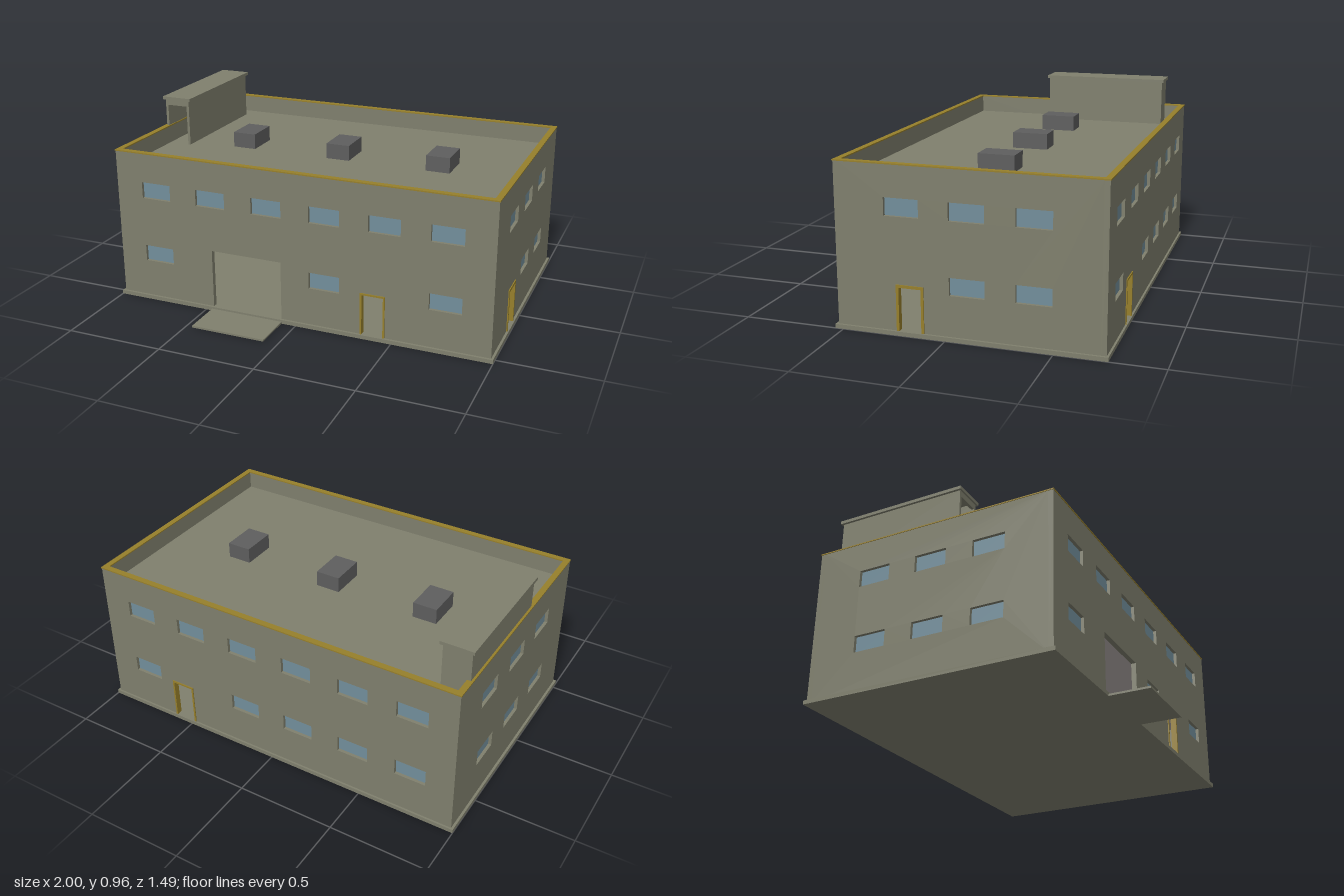
import * as THREE from 'three';

const mat = (name, color) => {
  const m = new THREE.MeshStandardMaterial({ color });
  m.name = name;
  return m;
};

export function createModel() {
  const wallMat = mat('olive concrete', 0x7f7f6d);
  const glassMat = mat('blue glass', 0x728e9b);
  const trimMat = mat('ochre trim', 0x967f2b);
  const unitMat = mat('dark grey metal', 0x5e5e5e);
  const ceilingMat = mat('pale ceiling', 0xb8b0ac);

  const model = new THREE.Group();
  model.name = 'building';

  // Box given by its limits on each axis
  const box = (parent, name, material, x0, x1, y0, y1, z0, z1) => {
    const mesh = new THREE.Mesh(new THREE.BoxGeometry(x1 - x0, y1 - y0, z1 - z0), material);
    mesh.position.set((x0 + x1) / 2, (y0 + y1) / 2, (z0 + z1) / 2);
    mesh.name = name;
    parent.add(mesh);
    return mesh;
  };

  const rect = (target, x0, x1, y0, y1) => {
    target.moveTo(x0, y0);
    target.lineTo(x1, y0);
    target.lineTo(x1, y1);
    target.lineTo(x0, y1);
    target.closePath();
    return target;
  };

  const X = 0.988, FRONT = 0.527, BACK = -0.735, MID = (FRONT + BACK) / 2;
  const T = 0.025, FLOOR = 0.02, TOP = 0.79, DECK = 0.7;
  const UPPER = [0.555, 0.64], LOWER = [0.213, 0.297];

  // Wall with pierced windows and doorways; local +z points outward
  const wall = (name, half, turn, x, z, windows, doors) => {
    const g = new THREE.Group();
    g.name = name;
    const shape = rect(new THREE.Shape(), -half, half, 0.005, TOP);
    const cut = (...r) => shape.holes.push(rect(new THREE.Path(), ...r));
    for (const [c, w, [y0, y1]] of windows) {
      cut(c - w / 2, c + w / 2, y0, y1);
      box(g, 'windowPane', glassMat, c - w / 2, c + w / 2, y0, y1, -T + 0.001, -T + 0.009);
    }
    for (const { x0, x1, y1, trim } of doors) {
      cut(x0, x1, FLOOR, y1);
      if (!trim) continue;
      box(g, 'doorJamb', trimMat, x0, x0 + trim, FLOOR, y1, -T, 0.005);
      box(g, 'doorJamb', trimMat, x1 - trim, x1, FLOOR, y1, -T, 0.005);
      box(g, 'doorHead', trimMat, x0 + trim, x1 - trim, y1 - trim, y1, -T, 0.005);
    }
    const geo = new THREE.ExtrudeGeometry(shape, { depth: T, bevelEnabled: false });
    geo.translate(0, 0, -T);
    const mesh = new THREE.Mesh(geo, wallMat);
    mesh.name = name + 'Panel';
    g.add(mesh);
    g.rotation.y = turn;
    g.position.set(x, 0, z);
    model.add(g);
  };

  const row = (centres, w, band) => centres.map((c) => [c, w, band]);
  const cols = [-0.765, -0.46, -0.155, 0.15, 0.455, 0.76];
  const sideCols = [0.204, -0.102, -0.41];
  const flip = (list) => list.map((c) => -c);

  // Base slab and loading ramp
  box(model, 'baseSlab', wallMat, -1, 1, 0, FLOOR, -0.745, 0.54);
  box(model, 'loadingRamp', wallMat, -0.465, -0.075, 0, 0.01, 0.53, 0.745);

  // Outer walls
  wall('frontWall', X, 0, 0, FRONT,
    [...row(cols, 0.16, UPPER), ...row([-0.765, 0.15, 0.76], 0.16, LOWER)],
    [{ x0: -0.46, x1: -0.08, y1: 0.325 }, { x0: 0.338, x1: 0.464, y1: 0.238, trim: 0.009 }]);
  wall('backWall', X, Math.PI, 0, BACK,
    [...row(flip(cols), 0.16, UPPER),
      ...row(flip(cols.filter((c) => c !== 0.455)), 0.16, LOWER)],
    [{ x0: -0.603, x1: -0.475, y1: 0.238, trim: 0.009 }]);
  const half = (FRONT - BACK) / 2 - T;
  const rightLocal = sideCols.map((z) => MID - z);
  wall('leftSideWall', half, Math.PI / 2, X, MID,
    [...row(rightLocal, 0.166, UPPER), ...row(rightLocal.slice(1), 0.166, LOWER)],
    [{ x0: MID - 0.235, x1: MID - 0.102, y1: 0.24, trim: 0.013 }]);
  const leftLocal = sideCols.map((z) => z - MID);
  wall('rightSideWall', half, -Math.PI / 2, -X, MID,
    [...row(leftLocal, 0.166, UPPER), ...row(leftLocal, 0.166, LOWER)], []);

  // Roof deck and ceiling of the lower storey
  const inX = X - T;
  box(model, 'roofDeck', wallMat, -inX, inX, DECK - 0.02, DECK, BACK + T, FRONT - T);
  box(model, 'lowerCeiling', ceilingMat, -inX, inX, 0.37, 0.38, BACK + T, FRONT - T);

  // Parapet coping
  const o = 0.003, w = 0.03, y1 = TOP + 0.006;
  box(model, 'copingFront', trimMat, -X - o, X + o, TOP, y1, FRONT + o - w, FRONT + o);
  box(model, 'copingBack', trimMat, -X - o, X + o, TOP, y1, BACK - o, BACK - o + w);
  for (const s of [-1, 1]) {
    const a = s * (X + o), b = s * (X + o - w);
    box(model, 'copingSide', trimMat, Math.min(a, b), Math.max(a, b), TOP, y1,
      BACK - o + w, FRONT + o - w);
  }

  // Rooftop units
  for (const x of [-0.542, -0.002, 0.538]) {
    box(model, 'rooftopUnit', unitMat, x - 0.0625, x + 0.0625, DECK, 0.78, -0.2, -0.02);
  }

  // Stair housing on the roof, open at the front
  const house = new THREE.Group();
  house.name = 'stairHousing';
  model.add(house);
  box(house, 'housingWall', wallMat, -0.98, -0.966, DECK, 0.94, -0.625, 0.04);
  box(house, 'housingWall', wallMat, -0.854, -0.84, DECK, 0.94, -0.625, 0.04);
  box(house, 'housingBack', wallMat, -0.966, -0.854, DECK, 0.94, -0.625, -0.611);
  box(house, 'housingLintel', wallMat, -0.966, -0.854, 0.91, 0.94, 0.026, 0.04);
  box(house, 'housingRoof', wallMat, -0.992, -0.828, 0.94, 0.956, -0.635, 0.048);

  return model;
}
